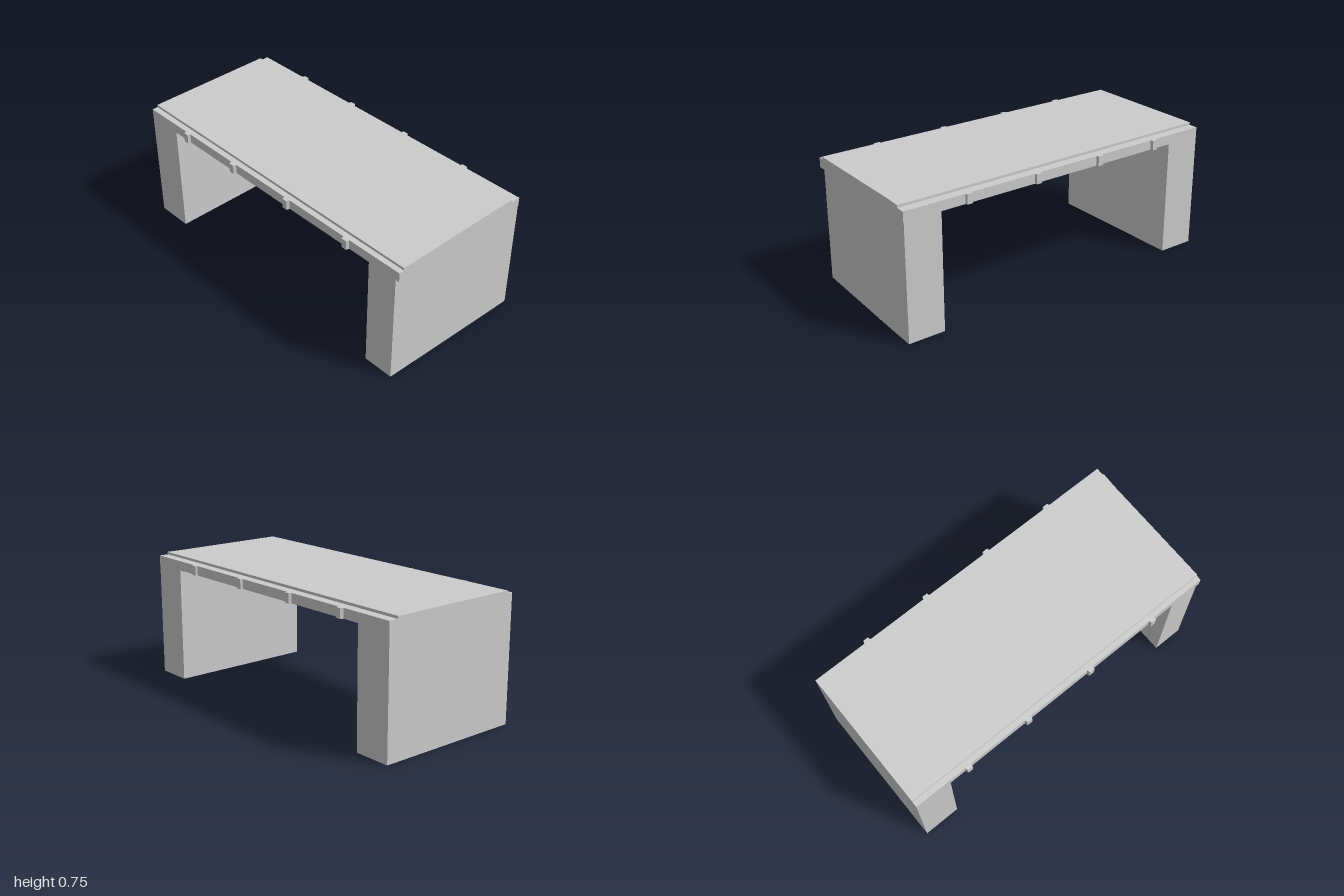
import * as THREE from 'three';

const material = new THREE.MeshStandardMaterial({ color: 0xcccccc, flatShading: true });

// Upright prism from a plan outline of [x, z] points
function prism(name, plan, y0, y1) {
  const shape = new THREE.Shape(plan.map(([x, z]) => new THREE.Vector2(x, -z)));
  const geometry = new THREE.ExtrudeGeometry(shape, { depth: y1 - y0, bevelEnabled: false });
  geometry.rotateX(-Math.PI / 2).translate(0, y0, 0);
  const mesh = new THREE.Mesh(geometry, material);
  mesh.name = name;
  return mesh;
}

// The long edges of the slab run slightly askew
const frontZ = x => 0.437 - 0.006 * x;
const backZ = x => -0.447 - 0.008 * x;

export function createModel() {
  const group = new THREE.Group();
  group.name = 'slabBridge';
  const under = 0.677, deckTop = 0.733, top = 0.748;

  // Solid end supports; the one on +x tapers towards the front
  group.add(prism('leftEndSupport', [
    [0.78, frontZ(0.78)], [0.962, frontZ(0.962)], [0.994, -0.31],
    [0.998, backZ(1)], [0.78, backZ(0.78)],
  ], 0, under));
  group.add(prism('rightEndSupport', [
    [-1, frontZ(-1)], [-0.78, frontZ(-0.78)], [-0.78, backZ(-0.78)], [-1, backZ(-1)],
  ], 0, under));

  // Spanning deck, overhanging the tapered support
  group.add(prism('deck', [
    [-1, frontZ(-1)], [0.985, frontZ(0.985)], [0.994, -0.31],
    [1, backZ(1)], [-1, backZ(-1)],
  ], under, deckTop));

  // Thin raised surface, set in from the long edges
  group.add(prism('topSurface', [
    [-1, 0.408], [0.985, 0.4], [0.994, -0.31], [0.999, -0.4], [-1, -0.384],
  ], deckTop, top));

  // Small tabs along both long edges
  const tabs = [
    { name: 'frontTab', edge: frontZ, xs: [-0.66, -0.257, 0.177, 0.621], out: 0.018 },
    { name: 'backTab', edge: backZ, xs: [-0.653, -0.248, 0.177, 0.616], out: -0.013 },
  ];
  for (const { name, edge, xs, out } of tabs) {
    xs.forEach((x, i) => {
      const z = edge(x), root = z - Math.sign(out) * 0.01;
      const tip = z + out + (out < 0 ? -0.004 * (1 - i / 3) : 0);
      group.add(prism(name + (i + 1), [
        [x - 0.02, root], [x + 0.02, root], [x + 0.02, z], [x + 0.016, tip],
        [x - 0.016, tip], [x - 0.02, z],
      ], under, deckTop));
    });
  }
  return group;
}
